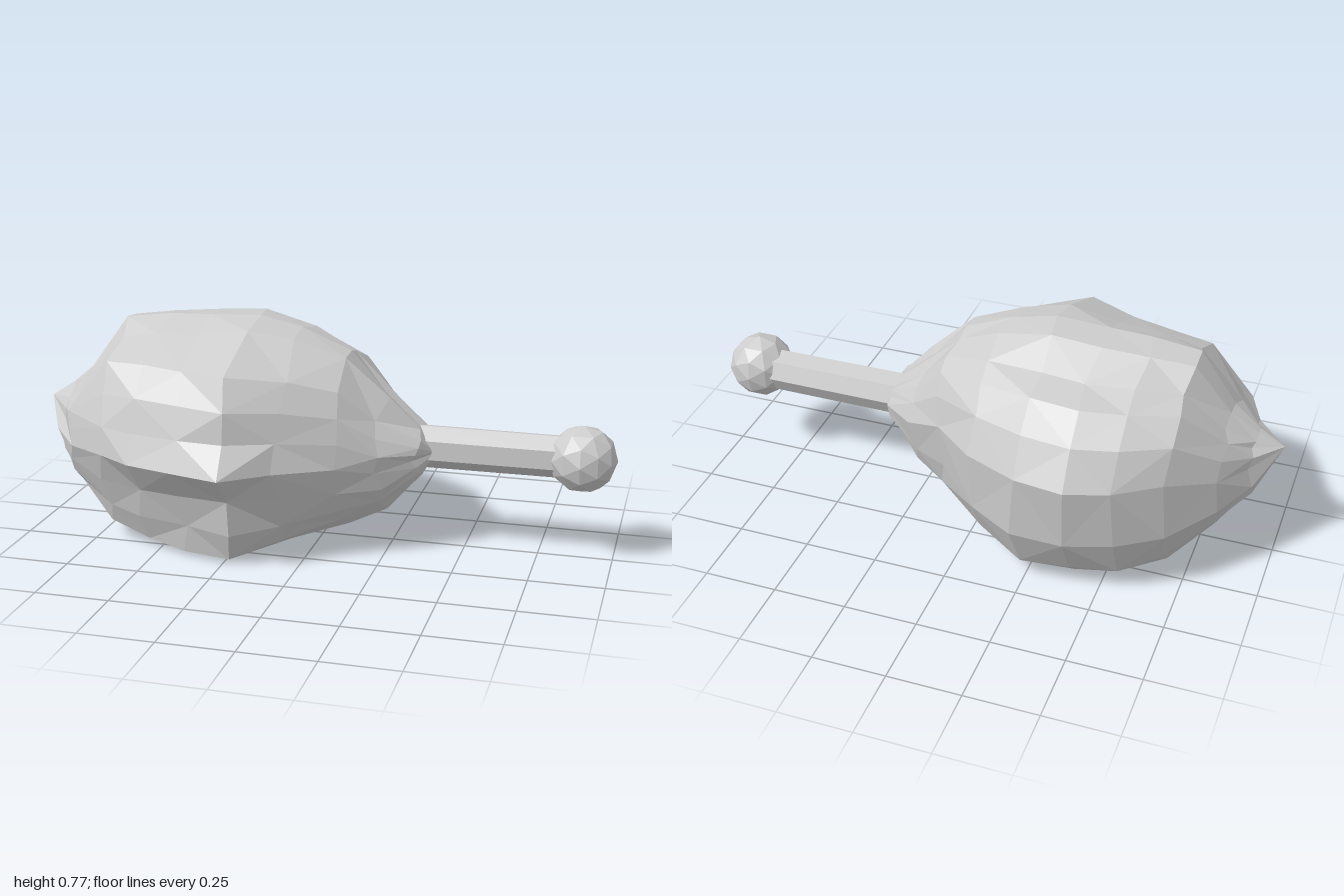
import * as THREE from 'three';

// Body sections along x: [x, bottom, top, back, front]
const SECTIONS = [
  [-0.91, 0.25, 0.485, -0.11, 0.14],
  [-0.83, 0.16, 0.56, -0.23, 0.27],
  [-0.69, 0.025, 0.735, -0.37, 0.35],
  [-0.55, 0.00, 0.755, -0.47, 0.41],
  [-0.39, 0.00, 0.76, -0.52, 0.46],
  [-0.23, 0.00, 0.768, -0.505, 0.515],
  [-0.06, 0.02, 0.735, -0.415, 0.395],
  [0.11, 0.07, 0.665, -0.27, 0.285],
  [0.23, 0.125, 0.53, -0.20, 0.205],
  [0.345, 0.26, 0.42, -0.11, 0.13],
];

// Lumpy outline of the widest section, front round over the top to the back and bottom
const OUTLINE = [
  [1, -0.12], [0.86, 0.14], [0.82, 0.4], [0.72, 0.68], [0.25, 0.92], [0, 1],
  [-0.22, 0.97], [-0.45, 0.8], [-0.66, 0.72], [-0.87, 0.53], [-1, 0.2],
  [-0.96, -0.4], [-0.82, -0.8], [-0.64, -0.97], [-0.15, -1], [0.4, -1],
  [0.7, -0.96], [0.76, -0.7], [0.83, -0.4],
];

// The front shoulder steps down further towards the blunt end
const SHOULDER = [
  [1, -0.12], [0.92, 0.14], [0.8, 0.42], [0.62, 0.68], [0.25, 0.83],
];

function seeded(seed) {
  return () => {
    seed = (seed * 16807) % 2147483647;
    return seed / 2147483647;
  };
}

function bodyGeometry() {
  const { lerp, clamp } = THREE.MathUtils;
  const rand = seeded(41);
  const n = OUTLINE.length;
  const points = [];
  const index = [];
  for (const [x, bottom, top, back, front] of SECTIONS) {
    const cy = (bottom + top) / 2;
    const h = (top - bottom) / 2;
    const blunt = clamp((-0.23 - x) / 0.3, 0, 1);
    // Sections grow rounder towards both ends, sooner at the narrow end
    const round = x > -0.23 ? clamp((x + 0.23) * 2.4, 0, 1) : clamp((-0.3 - x) * 0.8, 0, 1);
    OUTLINE.forEach((p, j) => {
      const q = SHOULDER[j] ?? p;
      const u = lerp(p[0], q[0], blunt);
      const v = lerp(p[1], q[1], blunt);
      const scale = lerp(1, 1 / Math.hypot(u, v), round);
      // Small dents, leaving the top, bottom and side extremes in place
      const extreme = Math.abs(u) === 1 || Math.abs(v) === 1;
      const k = scale * (extreme ? 1 : 0.97 + rand() * 0.05);
      const dx = (rand() - 0.5) * 0.03;
      points.push(x + dx, Math.max(0, cy + v * h * k), u * k * (u > 0 ? front : -back));
    });
  }
  const leftTip = points.length / 3;
  points.push(-1, 0.43, 0, 0.4, 0.34, 0.04);
  const last = (SECTIONS.length - 1) * n;
  for (let j = 0; j < n; j++) {
    const k = (j + 1) % n;
    for (let i = 0; i < SECTIONS.length - 1; i++) {
      const a = i * n + j, b = i * n + k, c = a + n, d = b + n;
      // Alternate diagonals for irregular facets
      if ((i + j) % 2) index.push(a, c, d, a, d, b);
      else index.push(a, c, b, b, c, d);
    }
    index.push(leftTip, j, k, last + j, leftTip + 1, last + k);
  }
  const geometry = new THREE.BufferGeometry();
  geometry.setAttribute('position', new THREE.Float32BufferAttribute(points, 3));
  geometry.setIndex(index);
  const flat = geometry.toNonIndexed();
  flat.computeVertexNormals();
  return flat;
}

export function createModel() {
  const group = new THREE.Group();
  const grey = new THREE.MeshStandardMaterial({ color: 0xcccccc, flatShading: true });
  grey.name = 'grey';

  function add(name, geometry) {
    const mesh = new THREE.Mesh(geometry, grey);
    mesh.name = name;
    group.add(mesh);
    return mesh;
  }

  // Faceted lump
  add('body', bodyGeometry());

  // Straight shaft running out of the narrow end
  const shaft = add('shaft', new THREE.CylinderGeometry(0.073, 0.075, 0.56, 7, 1, false, 0.42));
  shaft.rotation.z = -Math.PI / 2;
  shaft.position.set(0.56, 0.348, -0.01);

  // Round knob at the end of the shaft
  const knob = add('knob', new THREE.IcosahedronGeometry(0.114, 1));
  knob.position.set(0.887, 0.347, 0);

  return group;
}
